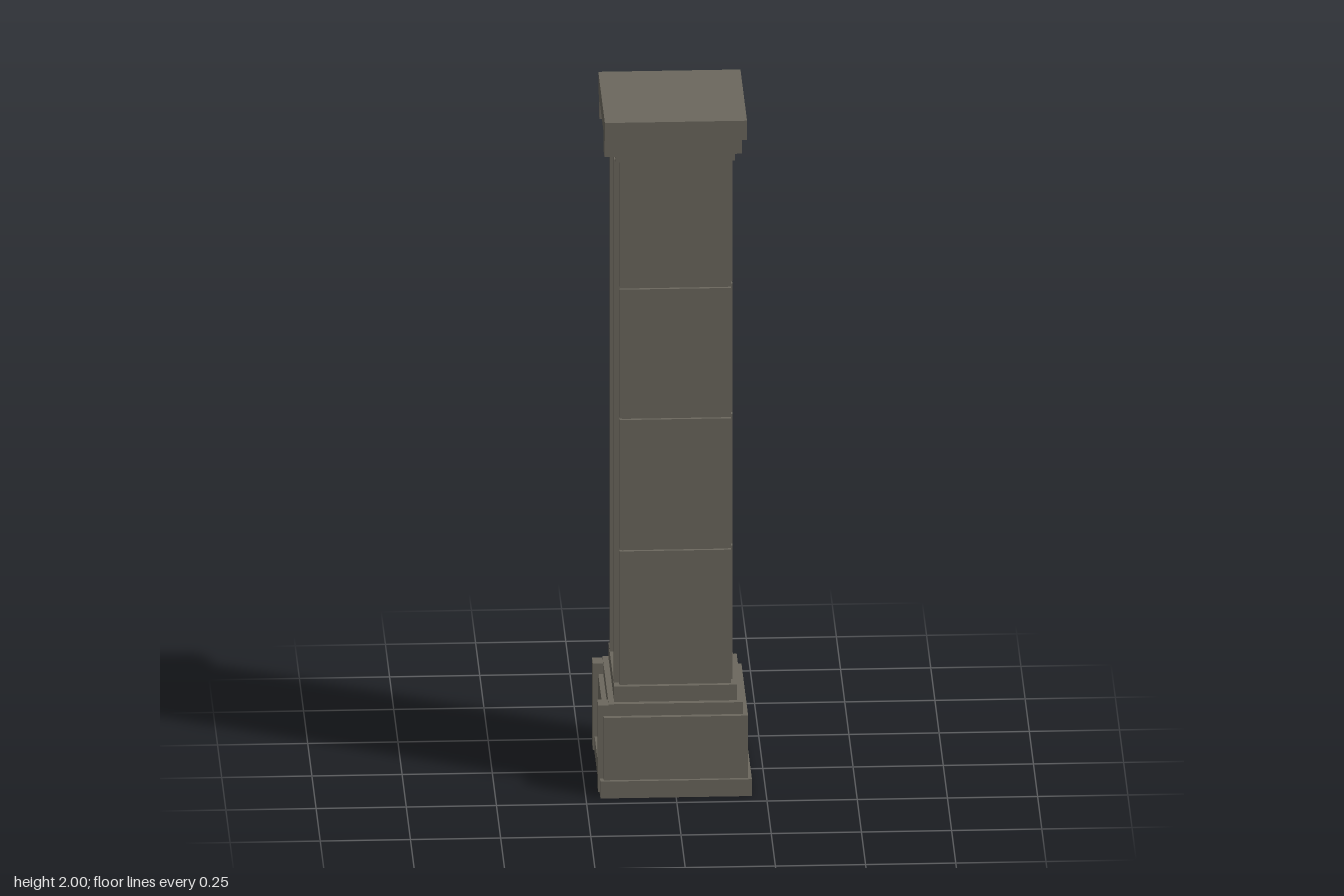
import * as THREE from 'three';

export function createModel() {
  const column = new THREE.Group();
  column.name = 'column';
  const stone = new THREE.MeshStandardMaterial({ color: 0x6b675d });
  stone.name = 'grey stone';

  // Box given by its limits on each axis
  function block(name, [x0, x1], [y0, y1], [z0, z1]) {
    const mesh = new THREE.Mesh(new THREE.BoxGeometry(x1 - x0, y1 - y0, z1 - z0), stone);
    mesh.name = name;
    mesh.position.set((x0 + x1) / 2, (y0 + y1) / 2, (z0 + z1) / 2);
    column.add(mesh);
  }

  // Square mouldings of base and cap: name, half width, bottom, top
  [
    ['foot', 0.21, 0, 0.05],
    ['plinth', 0.2, 0.05, 0.235],
    ['lowerBaseStep', 0.186, 0.235, 0.27],
    ['upperBaseStep', 0.17, 0.27, 0.316],
    ['neckMoulding', 0.165, 1.87, 1.897],
    ['capMoulding', 0.183, 1.897, 1.943],
    ['capSlab', 0.197, 1.943, 2],
  ].forEach(([name, h, y0, y1]) => block(name, [-h, h], [y0, y1], [-h, h]));

  // Recessed core, seen in the joints and grooves
  block('shaftCore', [-0.147, 0.147], [0.31, 1.875], [-0.148, 0.148]);

  // Four courses of facing panels with narrow joints between them
  const joints = [0.316, 0.715, 1.105, 1.492, 1.87];
  for (let i = 0; i < 4; i++) {
    const y = [joints[i] + (i ? 0.003 : 0), joints[i + 1] - (i < 3 ? 0.003 : 0)];
    block('frontPanel', [-0.155, 0.155], y, [0.146, 0.157]);
    block('backPanel', [-0.155, 0.155], y, [-0.157, -0.146]);
    block('leftPanel', [0.145, 0.16], y, [-0.125, 0.125]);
    block('rightPanel', [-0.157, -0.145], y, [-0.09, 0.09]);
  }

  // Raised vertical strips on the right side, in front and behind
  for (const s of [-1, 1]) {
    const span = (a, b) => (s > 0 ? [a, b] : [-b, -a]);
    block('shaftStrip', [-0.169, -0.145], [0.316, 1.87], span(0.1, 0.14));
    block('baseStrip', [-0.215, -0.165], [0.01, 0.266], span(0.138, 0.184));
    block('capStrip', [-0.197, -0.16], [1.888, 1.95], span(0.125, 0.168));
  }
  return column;
}
